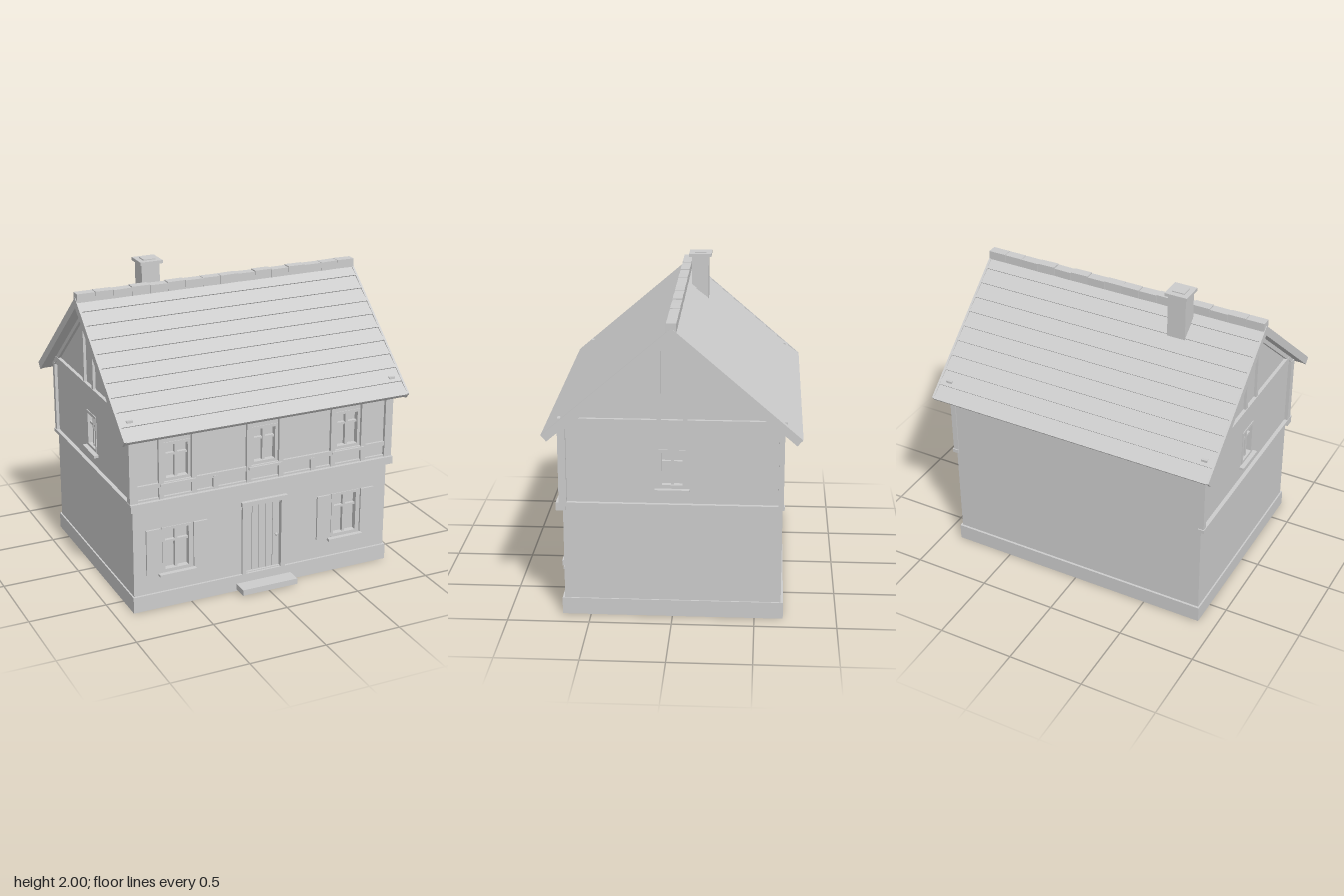
import * as THREE from 'three';

const stone = new THREE.MeshStandardMaterial({ color: 0xcccccc });
stone.name = 'pale grey';

// Box given by its limits on each axis
function box(parent, name, x0, x1, y0, y1, z0, z1) {
  const m = new THREE.Mesh(new THREE.BoxGeometry(x1 - x0, y1 - y0, z1 - z0), stone);
  m.position.set((x0 + x1) / 2, (y0 + y1) / 2, (z0 + z1) / 2);
  m.name = name;
  parent.add(m);
  return m;
}

function group(parent, name) {
  const g = new THREE.Group();
  g.name = name;
  parent.add(g);
  return g;
}

// Flat slab from an outline with rectangular openings [x0, x1, y0, y1]
function slab(parent, name, points, holes, depth) {
  const shape = new THREE.Shape(points.map(p => new THREE.Vector2(...p)));
  for (const [a, b, c, d] of holes) {
    shape.holes.push(new THREE.Path([[a, c], [a, d], [b, d], [b, c]].map(p => new THREE.Vector2(...p))));
  }
  const m = new THREE.Mesh(new THREE.ExtrudeGeometry(shape, { depth, bevelEnabled: false }), stone);
  m.name = name;
  parent.add(m);
  return m;
}

const rect = (w, h) => [[-w, -h], [w, -h], [w, h], [-w, h]];

// Framed window with a mullion, a transom, a pane and a sill
function addWindow(parent, x, y0, y1, w, z, shutters) {
  const g = group(parent, 'window');
  g.position.set(x, 0, z);
  const f = 0.018, mid = y0 + (y1 - y0) * 0.66;
  slab(g, 'windowFrame', [[-w, y0], [w, y0], [w, y1], [-w, y1]],
    [[-w + f, w - f, y0 + f, y1 - f]], 0.04).position.z = -0.035;
  box(g, 'windowMullion', -0.009, 0.009, y0 + f, y1 - f, -0.035, -0.008);
  box(g, 'windowTransom', -w + f, w - f, mid - 0.007, mid + 0.007, -0.035, -0.01);
  box(g, 'windowPane', -w + f, w - f, y0 + f, y1 - f, -0.04, -0.032);
  box(g, 'windowSill', -w - 0.025, w + 0.025, y0 - 0.022, y0 - 0.006, -0.02, 0.03);
  if (shutters) {
    for (const s of [-1, 1]) {
      const c = s * (w + 0.06);
      box(g, 'shutter', c - 0.046, c + 0.046, y0, y1, 0, 0.013);
    }
  }
}

export function createModel() {
  const house = new THREE.Group();
  house.name = 'house';

  // Plinth ring, open underneath
  const plinth = slab(house, 'plinth', rect(0.885, 0.675), [[-0.8, 0.8, -0.59, 0.59]], 0.105);
  plinth.rotation.x = -Math.PI / 2;

  // Front and back walls
  const xs = [-0.585, 0, 0.58];
  const openings = [
    ...xs.map(x => [x - 0.09, x + 0.09, 0.84, 1.088]),
    ...[-0.59, 0.58].map(x => [x - 0.097, x + 0.097, 0.235, 0.535]),
    [-0.122, 0.122, 0.11, 0.575],
  ];
  slab(house, 'frontWall', [[-0.815, 0.1], [0.815, 0.1], [0.815, 1.22], [-0.815, 1.22]],
    openings, 0.06).position.z = 0.6;
  box(house, 'backWall', -0.815, 0.815, 0.1, 1.22, -0.66, -0.6);

  // Front windows
  for (const x of xs) addWindow(house, x, 0.84, 1.088, 0.09, 0.66, false);
  for (const x of [-0.59, 0.58]) addWindow(house, x, 0.235, 0.535, 0.097, 0.66, true);

  // Plank door with frame, handle and step
  const door = group(house, 'door');
  for (let i = 0; i < 5; i++) {
    const x = -0.12 + i * 0.048;
    box(door, 'doorPlank', x + 0.002, x + 0.046, 0.11, 0.575, 0.615, 0.645);
  }
  box(door, 'doorBacking', -0.122, 0.122, 0.11, 0.575, 0.61, 0.638);
  for (const s of [-1, 1]) box(door, 'doorJamb', s * 0.135 - 0.015, s * 0.135 + 0.015, 0.105, 0.575, 0.64, 0.675);
  box(door, 'doorLintel', -0.157, 0.157, 0.573, 0.602, 0.64, 0.685);
  const knob = new THREE.Mesh(new THREE.SphereGeometry(0.01, 10, 8), stone);
  knob.name = 'doorKnob';
  knob.position.set(0.095, 0.33, 0.655);
  door.add(knob);
  box(house, 'doorStep', -0.19, 0.19, 0.012, 0.05, 0.67, 0.772);

  // Timber framing of the upper front
  const frame = group(house, 'frontTimbers');
  box(frame, 'beltBeam', -0.9, 0.9, 0.685, 0.735, 0.64, 0.7);
  box(frame, 'middleRail', -0.845, 0.845, 0.808, 0.838, 0.65, 0.676);
  box(frame, 'lowerRail', -0.845, 0.845, 0.735, 0.746, 0.65, 0.676);
  box(frame, 'topRail', -0.9, 0.9, 1.16, 1.2, 0.65, 0.68);
  for (const x of [-0.692, -0.477, -0.11, 0.11, 0.473, 0.69]) {
    box(frame, 'post', x - 0.016, x + 0.016, 0.735, 1.17, 0.65, 0.68);
  }
  for (const x of [-0.335, 0.335]) box(frame, 'shortStud', x - 0.016, x + 0.016, 0.735, 0.82, 0.65, 0.68);
  for (const s of [-1, 1]) box(frame, 'cornerPost', s * 0.872 - 0.026, s * 0.872 + 0.026, 0.735, 1.2, 0.635, 0.682);

  const pitch = Math.atan(0.857);

  // Gable ends: built facing +z, then turned to each side
  for (const turn of [1, -1]) {
    const side = group(house, 'gableEnd');
    side.rotation.y = turn * Math.PI / 2;
    slab(side, 'gableWall', [[-0.66, 0.1], [0.66, 0.1], [0.66, 1.214], [0, 1.78], [-0.66, 1.214]],
      [[-0.08, 0.08, 0.835, 1.075]], 0.06).position.z = 0.815;
    addWindow(side, 0, 0.835, 1.075, 0.08, 0.875, false);
    box(side, 'sideBelt', -0.672, 0.672, 0.712, 0.736, 0.86, 0.9);
    box(side, 'tieBeam', -0.655, 0.655, 1.235, 1.266, 0.86, 0.897);
    box(side, 'lowerTieBeam', -0.655, 0.655, 1.203, 1.235, 0.86, 0.889);
    box(side, 'rearPost', turn * 0.65 - 0.016, turn * 0.65 + 0.016, 0.735, 1.21, 0.86, 0.895);
    for (const s of [-1, 1]) {
      box(side, 'gablePost', s * 0.078 - 0.013, s * 0.078 + 0.013, 1.26, 1.71, 0.86, 0.893);
      const rafter = box(side, 'rafter', -0.445, 0.445, -0.02, 0.02, 0.86, 0.894);
      rafter.position.set(s * 0.335, 1.48, 0.877);
      rafter.rotation.z = -s * pitch;
    }
  }

  // Roof slopes with overlapping courses; local +z runs down the slope
  const length = 1.012, rows = 10, step = length / rows;
  for (const back of [false, true]) {
    const half = group(house, back ? 'backRoof' : 'frontRoof');
    half.rotation.y = back ? Math.PI : 0;
    const slope = group(half, 'roofSlope');
    slope.position.y = 1.835;
    slope.rotation.x = pitch;
    box(slope, 'roofDeck', -0.945, 0.945, -0.046, -0.014, 0, length - 0.006);
    for (let i = 0; i < rows; i++) {
      const row = box(slope, 'roofCourse', -0.947, 0.947, -0.014, 0, i * step, (i + 1) * step + 0.004);
      row.position.y = -0.009;
      row.rotation.x = -0.07;
    }
    for (const s of [-1, 1]) {
      box(slope, 'vergeBoard', s * 0.952 - 0.007, s * 0.952 + 0.007, -0.048, 0.002, 0, length);
      box(half, 'snowGuardBracket', s * 0.885 - 0.02, s * 0.885 + 0.02, 1.236, 1.268, 0.638, 0.678);
    }
    if (!back) box(half, 'snowGuardBar', -0.89, 0.89, 1.222, 1.24, 0.664, 0.68);
  }

  // Ridge caps with slight unevenness
  for (let i = 0; i < 16; i++) {
    const x = -0.956 + i * 0.1195, j = 0.003 * Math.sin(i * 2.7);
    const cap = box(house, 'ridgeCap', x + 0.001, x + 0.1185, 1.81, 1.865 + j, -0.03, 0.03);
    cap.rotation.z = 0.012 * Math.sin(i * 4.1);
    cap.rotation.y = 0.015 * Math.sin(i * 3.3);
  }

  // Chimney
  const chimney = group(house, 'chimney');
  box(chimney, 'chimneyStack', -0.5, -0.38, 1.6, 1.98, -0.16, -0.05);
  box(chimney, 'chimneyCap', -0.514, -0.366, 1.974, 1.994, -0.178, -0.032);
  box(chimney, 'chimneyFlue', -0.48, -0.4, 1.99, 2.0, -0.142, -0.068);

  return house;
}
